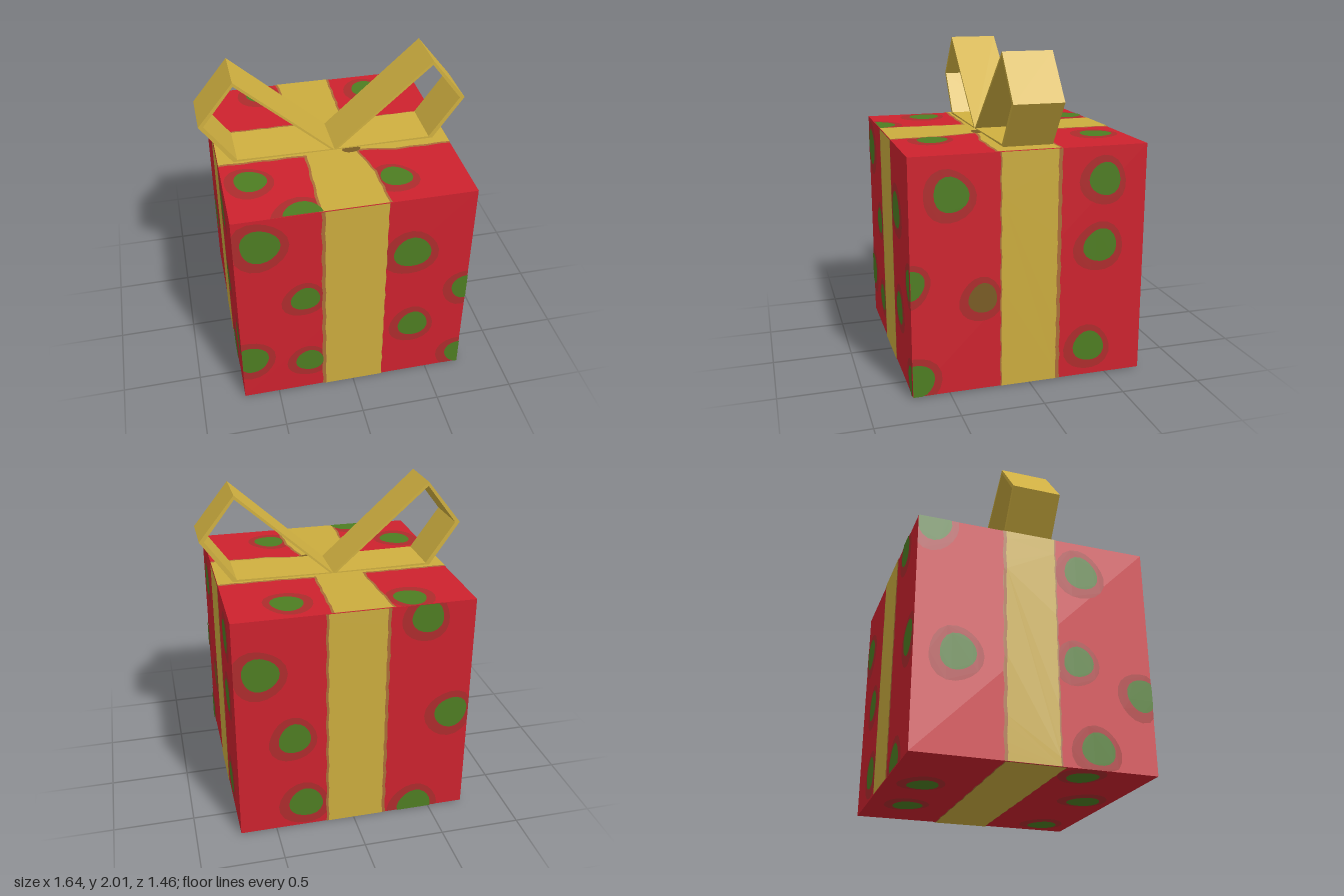
import * as THREE from 'three';

const S = 1.45, H = S / 2; // box edge and half edge

const mat = (name, color, side = THREE.FrontSide) => {
  const m = new THREE.MeshStandardMaterial({ color, side });
  m.name = name;
  return m;
};

export function createModel() {
  const red = mat('red paper', 0xcd222e);
  const gold = mat('gold ribbon', 0xcbac3e);
  const bowGold = mat('gold bow', 0xd0b040, THREE.DoubleSide);
  const green = mat('green dot', 0x4e7d22);
  const halo = mat('dark red halo', 0xae2c2d);
  const brown = mat('brown ribbon edge', 0xaa6d38);
  const olive = mat('olive dot', 0x7a5c24);

  const model = new THREE.Group();
  model.name = 'giftBox';

  const box = new THREE.Mesh(new THREE.BoxGeometry(S, S, S), red);
  box.name = 'box';
  box.position.y = H;
  model.add(box);

  const clamp = (v) => Math.max(-H, Math.min(H, v));

  // Flat painted shape, cut off at the edges of its face
  const paint = (face, name, pts, material, height) => {
    const shape = new THREE.Shape(pts.map(([x, y]) => new THREE.Vector2(clamp(x), clamp(y))));
    const mesh = new THREE.Mesh(new THREE.ShapeGeometry(shape), material);
    mesh.name = name;
    mesh.position.z = height;
    face.add(mesh);
  };

  // Slightly uneven round blot
  const blot = (x, y, rx, ry = rx) => Array.from({ length: 20 }, (_, i) => {
    const a = i / 20 * Math.PI * 2;
    const k = 1 + 0.04 * Math.sin(3 * a + x * 9) + 0.03 * Math.sin(2 * a + y * 7);
    return [x + Math.cos(a) * rx * k, y + Math.sin(a) * ry * k];
  });

  // Band across a face; rows are [position along, low edge, high edge]
  const band = (rows, padLow, padHigh, wobble, across) => {
    const low = [], high = [], N = 28;
    for (let i = 0; i <= N; i++) {
      const t = -H + S * i / N;
      let k = 0;
      while (k < rows.length - 2 && t > rows[k + 1][0]) k++;
      const [a, b] = [rows[k], rows[k + 1]];
      const f = (t - a[0]) / (b[0] - a[0]);
      const lo = a[1] + (b[1] - a[1]) * f - padLow + wobble * Math.sin(i * 1.7);
      const hi = a[2] + (b[2] - a[2]) * f + padHigh + wobble * Math.sin(i * 2.3 + 1);
      low.push([lo, t]);
      high.push([hi, t]);
    }
    const pts = low.concat(high.reverse());
    return across ? pts.map(([u, t]) => [t, u]) : pts;
  };

  // One decorated side: position, rotation, dots [x, y, radius], bands
  const addFace = (name, pos, rot, dots, bands) => {
    const face = new THREE.Group();
    face.name = name;
    face.position.set(...pos);
    face.rotation.set(...rot);
    for (const [x, y, r, m = green] of dots) {
      paint(face, 'dotHalo', blot(x - 0.01, y - 0.01, r * 1.5), halo, 0.0015);
      paint(face, 'dot', blot(x, y, r), m, 0.006);
    }
    for (const { rows, low = 0.015, high = 0.015, across = false } of bands) {
      paint(face, 'ribbonEdge', band(rows, low, high, 0.004, across), brown, 0.003);
      paint(face, 'ribbon', band(rows, 0, 0, 0.003, across), gold, 0.0045);
    }
    model.add(face);
    return face;
  };
  const straight = (lo, hi) => [[-H, lo, hi], [H, lo, hi]];
  // Dot heights on the walls are measured from the ground
  const wall = (dots) => dots.map(([x, y, r, m]) => [x, y - H, r, m]);

  addFace('frontSide', [0, H, H], [0, 0, 0], wall([
    [-0.57, 1.26, 0.12], [0.35, 1.05, 0.115], [-0.31, 0.8, 0.09], [0.72, 0.7, 0.095],
    [-0.665, 0.335, 0.11], [0.385, 0.435, 0.1], [-0.29, 0.25, 0.09], [0.73, 0.1, 0.1],
  ]), [{ rows: straight(-0.185, 0.19), low: 0.022, high: 0.002 }]);

  addFace('leftSide', [H, H, 0], [0, Math.PI / 2, 0], wall([
    [-0.48, 1.22, 0.105], [0.46, 1.25, 0.1], [0.44, 0.84, 0.105], [-0.73, 0.7, 0.09],
    [-0.295, 0.58, 0.09, olive], [0.38, 0.19, 0.1], [-0.705, 0.1, 0.11],
  ]), [{ rows: straight(-0.18, 0.165), low: 0.008, high: 0.024 }]);

  addFace('backSide', [0, H, -H], [0, Math.PI, 0], wall([
    [-0.57, 1.11, 0.11], [-0.375, 0.65, 0.1], [-0.31, 0.17, 0.105],
    [0.43, 1.37, 0.1], [0.61, 0.7, 0.105], [0.4, 0.03, 0.11],
  ]), [{ rows: straight(-0.165, 0.185), low: 0.015, high: 0.02 }]);

  addFace('rightSide', [-H, H, 0], [0, -Math.PI / 2, 0], wall([
    [-0.63, 1.41, 0.11], [-0.47, 0.6, 0.11], [0.26, 0.64, 0.095],
    [0.36, 0.12, 0.1], [0.3, 1.24, 0.11], [0.66, 0.48, 0.1],
  ]), [{ rows: straight(-0.18, 0.13), low: 0.02, high: 0.01 }]);

  const top = addFace('topSide', [0, S, 0], [-Math.PI / 2, 0, 0], [
    [-0.35, 0.62, 0.1], [0.37, 0.54, 0.1], [-0.56, -0.36, 0.1],
    [0.295, -0.49, 0.095], [-0.31, -0.725, 0.115],
  ], [
    { rows: [[-H, -0.205, 0.19], [-0.4, -0.19, 0.18], [-0.15, -0.18, 0.12], [0.25, -0.18, 0.12], [H, -0.215, 0.13]] },
    { rows: [[-H, -0.155, 0.185], [0.2, -0.165, 0.185], [0.35, -0.2, 0.175], [H, -0.2, 0.175]], across: true },
  ]);
  paint(top, 'ribbonStain', blot(0.1, -0.16, 0.06, 0.03), olive, 0.006);

  addFace('underside', [0, 0, 0], [Math.PI / 2, 0, 0], [
    [0.335, -0.48, 0.095], [-0.15, -0.5, 0.095], [0.55, 0.52, 0.095],
    [-0.1, 0.54, 0.1], [-0.58, 0.32, 0.095],
  ], [{ rows: straight(-0.19, 0.16), low: 0.005, high: 0.005, across: true }]);

  // Bow: two thin angular loops of folded ribbon
  const outer = [[0, 1.457], [0.63, 1.457], [0.818, 1.728], [0.6, 2]];
  const inner = [[0.025, 1.464], [0.605, 1.47], [0.788, 1.728], [0.598, 1.975]];
  for (const [name, side] of [['leftBowLoop', 1], ['rightBowLoop', -1]]) {
    const toPoints = (list) => list.map(([x, y]) => new THREE.Vector2(x * side, y));
    const shape = new THREE.Shape(toPoints(outer));
    shape.holes.push(new THREE.Path(toPoints(inner)));
    const loop = new THREE.Mesh(
      new THREE.ExtrudeGeometry(shape, { depth: 0.305, bevelEnabled: false }), bowGold);
    loop.name = name;
    loop.position.z = -0.162;
    model.add(loop);
  }
  return model;
}
